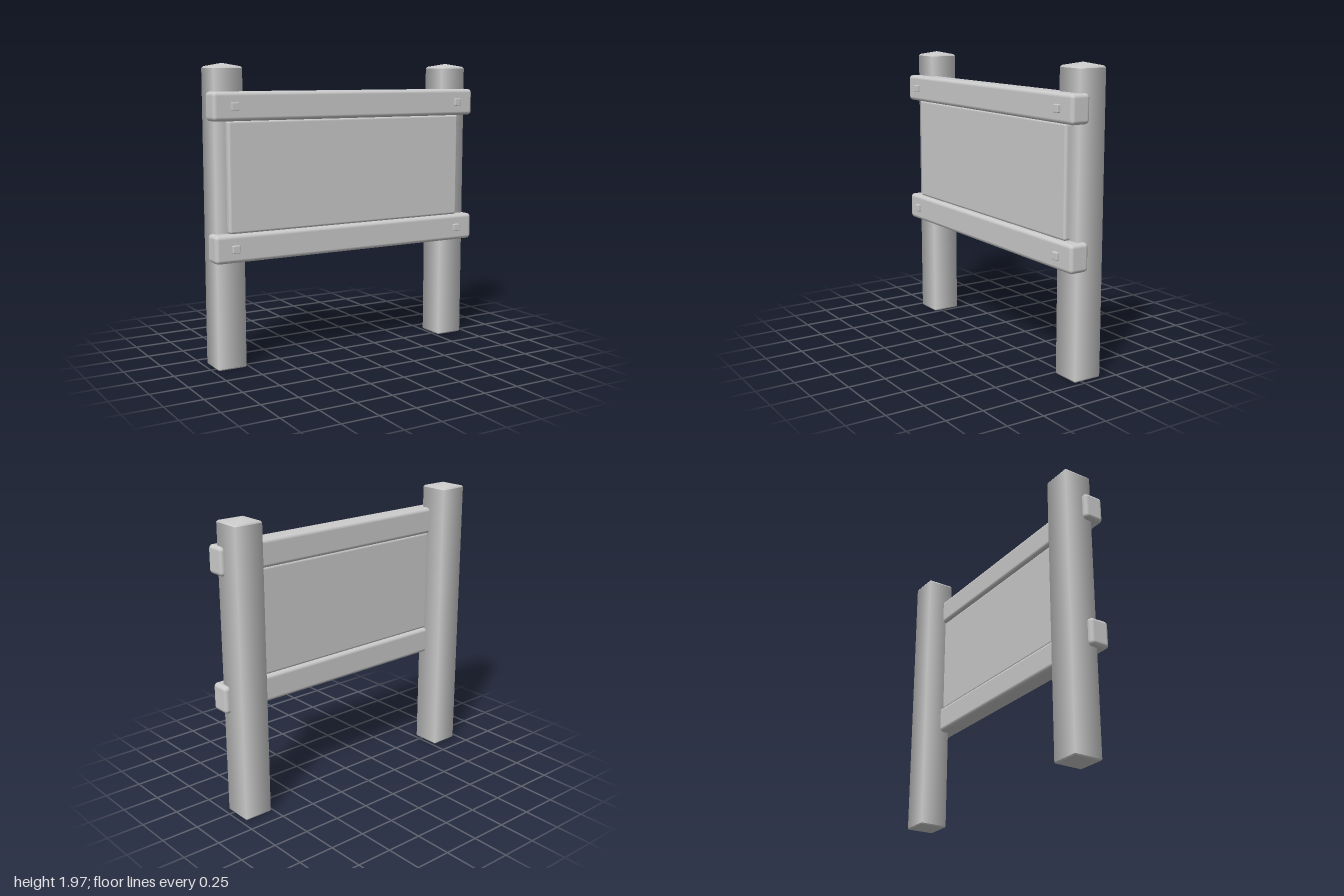
import * as THREE from 'three';
import { RoundedBoxGeometry } from 'three/addons/geometries/RoundedBoxGeometry.js';

export function createModel() {
  const model = new THREE.Group();
  const material = new THREE.MeshStandardMaterial({ color: 0xcccccc });

  const add = (name, geometry, x, y, z) => {
    const mesh = new THREE.Mesh(geometry, material);
    mesh.name = name;
    mesh.position.set(x, y, z);
    model.add(mesh);
    return mesh;
  };
  const block = (w, h, d, r) => new RoundedBoxGeometry(w, h, d, 2, r);

  // Square post with softly shaded walls and a low pyramid top;
  // repeated profile points keep the end edges crisp.
  const R = 0.0975 * Math.SQRT2;
  const profile = [
    [0, 0], [R - 0.006, 0], [R - 0.006, 0], [R, 0.008], [R, 0.008],
    [R, 1.937], [R, 1.937], [R - 0.012, 1.949], [0, 1.97],
  ].map(([r, y]) => new THREE.Vector2(r, y));
  const postGeometry = new THREE.LatheGeometry(profile, 4, Math.PI / 4);

  for (const [side, s] of [['left', 1], ['right', -1]]) {
    add(`${side}Post`, postGeometry, s * 0.868, 0, -0.045);
  }

  // Two rails across the front of the posts, each with a square bolt per end
  const boltGeometry = block(0.05, 0.05, 0.035, 0.005);
  const rails = [
    { name: 'top', y: 1.701, width: 1.99, x: -0.005, boltX: 0.855 },
    { name: 'bottom', y: 0.803, width: 2, x: 0, boltX: 0.862 },
  ];
  for (const { name, y, width, x, boltX } of rails) {
    add(`${name}Rail`, block(width, 0.184, 0.138, 0.026), x, y, 0.056);
    for (const [side, s] of [['Left', 1], ['Right', -1]]) {
      add(`${name}${side}Bolt`, boltGeometry, s * boltX - 0.004, y, 0.1275);
    }
  }

  // Sign panel held between the rails
  add('panel', block(1.78, 0.72, 0.085, 0.018), 0, 1.252, 0.05);

  return model;
}
